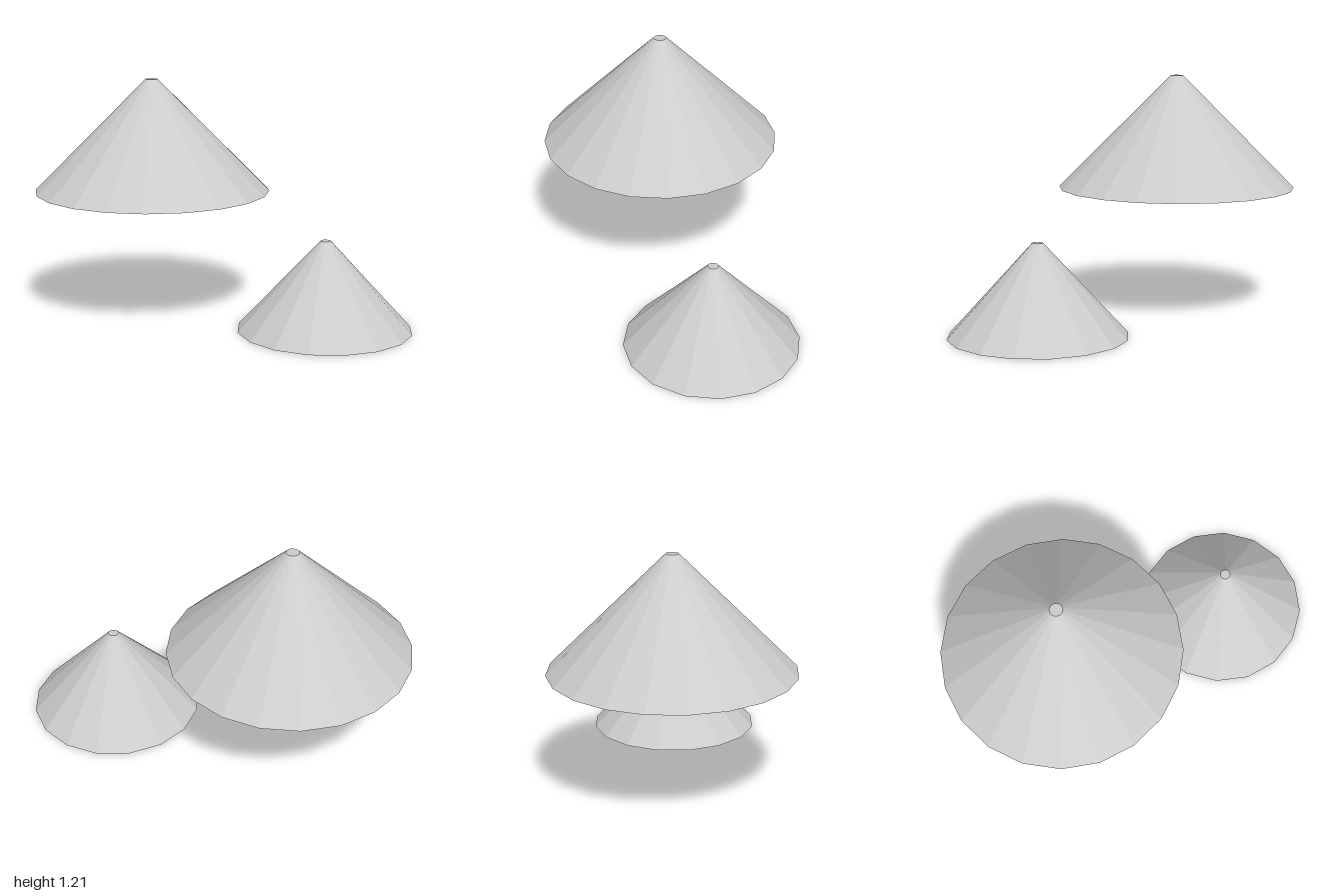
import * as THREE from 'three';

export function createModel() {
  const group = new THREE.Group();
  const grey = new THREE.MeshStandardMaterial({
    color: 0xcccccc, flatShading: true, side: THREE.DoubleSide,
  });
  grey.name = 'light grey';

  // Hollow faceted cone: open underneath, with a small flat cap on top
  function addCone(name, radius, topRadius, height, sides, x, y, z) {
    const profile = [[radius, 0], [topRadius, height], [0, height]]
      .map(([r, h]) => new THREE.Vector2(r, h));
    const cone = new THREE.Mesh(new THREE.LatheGeometry(profile, sides), grey);
    cone.name = name;
    cone.position.set(x, y, z);
    group.add(cone);
  }

  addCone('largeUpperCone', 0.61, 0.032, 0.58, 20, -0.39, 0.63, 0.008);
  addCone('smallLowerCone', 0.44, 0.026, 0.455, 16, 0.56, 0, -0.182);
  return group;
}
